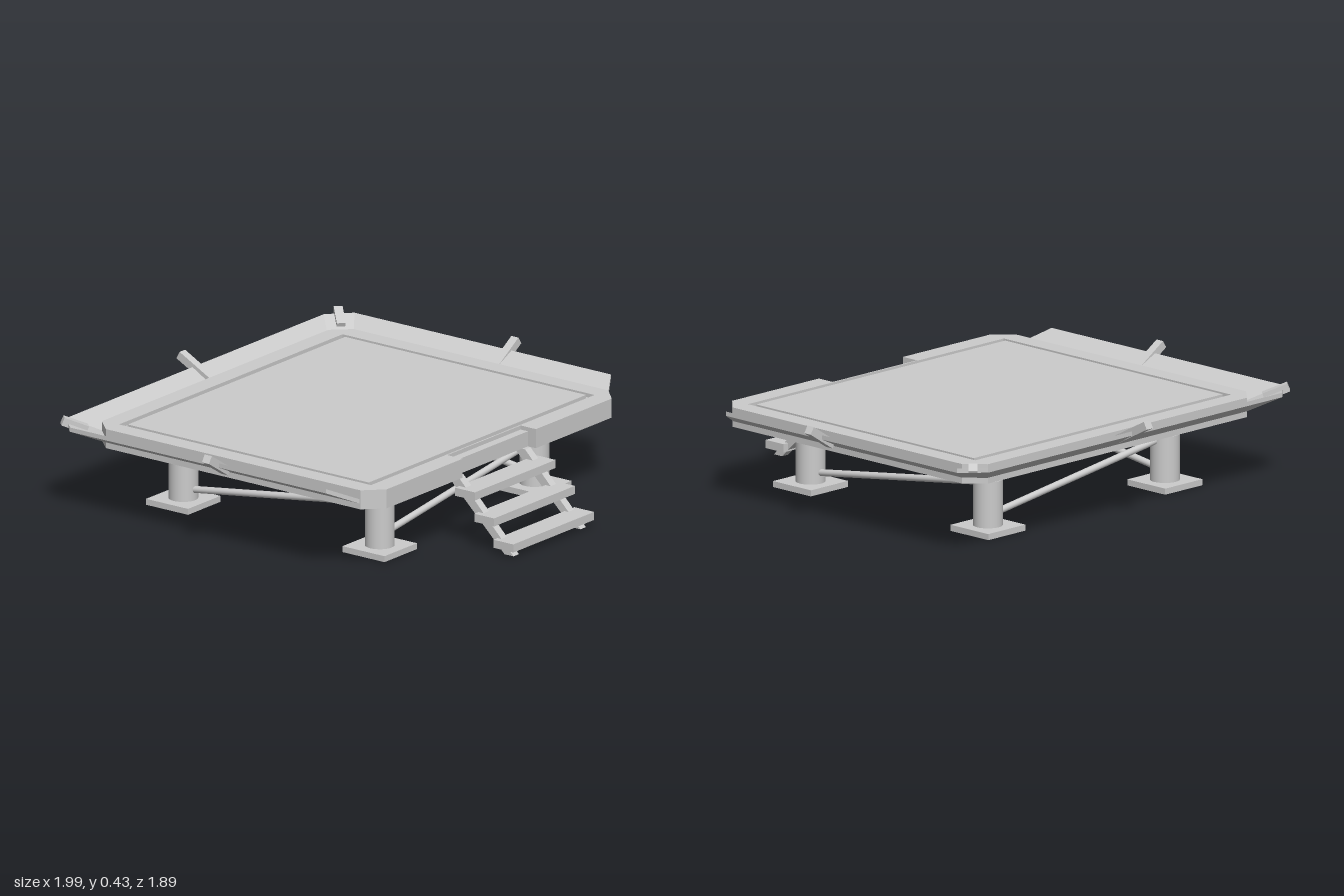
import * as THREE from 'three';

const mat = new THREE.MeshStandardMaterial({ color: 0xcccccc });
const flat = new THREE.MeshStandardMaterial({ color: 0xcccccc, flatShading: true });
const V = (x, y, z) => new THREE.Vector3(x, y, z);

function add(parent, name, geo, pos = [0, 0, 0], material = flat) {
  const m = new THREE.Mesh(geo, material);
  m.name = name;
  m.position.set(...pos);
  parent.add(m);
  return m;
}

// Flat plate from an outline of [x, z] points, lying between y0 and y1
function plate(outline, y0, y1, hole) {
  const toPts = (list) => list.map(([x, z]) => new THREE.Vector2(x, -z));
  const shape = new THREE.Shape(toPts(outline));
  if (hole) shape.holes.push(new THREE.Path(toPts(hole)));
  return new THREE.ExtrudeGeometry(shape, { depth: y1 - y0, bevelEnabled: false })
    .rotateX(-Math.PI / 2).translate(0, y0, 0);
}

// Mirror a half outline (listed from front centre to back centre) across x = 0
const mirrored = (half) => [...half, ...half.map(([x, z]) => [-x, z]).reverse()];

// Square bar or round tube between two points
function bar(parent, name, a, b, w, h) {
  const m = add(parent, name, new THREE.BoxGeometry(w, h, a.distanceTo(b)));
  m.position.copy(a).add(b).multiplyScalar(0.5);
  m.lookAt(b);
  return m;
}
function tube(parent, name, a, b, r) {
  const m = add(parent, name, new THREE.CylinderGeometry(r, r, a.distanceTo(b), 16), [0, 0, 0], mat);
  m.position.copy(a).add(b).multiplyScalar(0.5);
  m.quaternion.setFromUnitVectors(V(0, 1, 0), b.clone().sub(a).normalize());
  return m;
}

// Thin sloping skirt swept round three sides, with closed ends
function skirtGeometry() {
  const half = [
    [0.81, 0.59, 0.93, 0.515],
    [0.81, -0.69, 0.93, -0.78],
    [0.74, -0.765, 0.84, -0.865],
  ];
  const path = [...half, ...half.map(([a, b, c, d]) => [-a, b, -c, d]).reverse()];
  const sections = path.map(([ix, iz, ox, oz]) => [
    V(ix, 0.322, iz), V(ox, 0.38, oz), V(ox, 0.362, oz), V(ix, 0.304, iz),
  ]);
  const pos = [];
  const quad = (a, b, c, d) => [a, b, c, a, c, d].forEach((p) => pos.push(p.x, p.y, p.z));
  for (let i = 0; i < sections.length - 1; i++) {
    const s = sections[i], t = sections[i + 1];
    for (let k = 0; k < 4; k++) {
      const n = (k + 1) % 4;
      quad(s[k], s[n], t[n], t[k]);
    }
  }
  const first = sections[0], last = sections[sections.length - 1];
  quad(first[3], first[2], first[1], first[0]);
  quad(...last);
  const geo = new THREE.BufferGeometry();
  geo.setAttribute('position', new THREE.Float32BufferAttribute(pos, 3));
  geo.computeVertexNormals();
  return geo;
}

export function createModel() {
  const model = new THREE.Group();
  model.name = 'platform';

  // Deck: base slab, raised rim and centre panel with a groove between them
  const deck = new THREE.Group();
  deck.name = 'deck';
  model.add(deck);
  const edge = [[0.735, 0.67], [0.81, 0.595], [0.81, -0.69], [0.74, -0.765]];
  add(deck, 'deckBase', plate(mirrored([[0.24, 0.63], [0.24, 0.67], ...edge]), 0.28, 0.343));
  const groove = mirrored([[0.73, 0.587], [0.73, -0.685]]);
  add(deck, 'deckRim', plate(mirrored([[0.24, 0.593], [0.24, 0.67], ...edge]), 0.343, 0.36, groove));
  add(deck, 'deckPanel', plate(mirrored([[0.71, 0.56], [0.71, -0.657]]), 0.343, 0.36));

  const skirt = add(model, 'skirt', skirtGeometry());
  skirt.material = flat.clone();
  skirt.material.side = THREE.DoubleSide;

  // Sloping arms that carry the skirt
  const arms = [
    [V(0.86, 0.328, -0.005), V(0.985, 0.408, -0.005)],
    [V(-0.86, 0.328, -0.045), V(-0.985, 0.408, -0.045)],
    [V(0, 0.332, -0.78), V(0, 0.416, -0.938)],
    [V(0.83, 0.35, -0.77), V(0.9, 0.39, -0.84)],
    [V(-0.83, 0.35, -0.77), V(-0.9, 0.39, -0.84)],
  ];
  for (const [a, b] of arms) bar(model, 'skirtArm', a, b, 0.036, 0.034);

  // Legs with sleeves and foot plates
  const corners = [[0.505, 0.457], [0.505, -0.535], [-0.505, -0.535], [-0.505, 0.457]];
  for (const [x, z] of corners) {
    const leg = new THREE.Group();
    leg.name = 'leg';
    leg.position.set(x, 0, z);
    model.add(leg);
    add(leg, 'footPlate', new THREE.BoxGeometry(0.212, 0.025, 0.212), [0, 0.0125, 0]);
    add(leg, 'legSleeve', new THREE.CylinderGeometry(0.06, 0.06, 0.19, 32), [0, 0.12, 0], mat);
    add(leg, 'legPost', new THREE.CylinderGeometry(0.054, 0.054, 0.26, 32), [0, 0.155, 0], mat);
  }

  // One level rail and one diagonal brace on each side
  corners.forEach(([x, z], i) => {
    const [nx, nz] = corners[(i + 1) % 4];
    tube(model, 'levelRail', V(x, 0.242, z), V(nx, 0.242, nz), 0.013);
    tube(model, 'diagonalBrace', V(x, 0.062, z), V(nx, 0.202, nz), 0.014);
  });

  // Steps: sloping stringers cut level at the ground, and three treads
  const steps = new THREE.Group();
  steps.name = 'steps';
  model.add(steps);
  const side = new THREE.Shape([[0.93, 0.025], [0.88, 0], [0.925, 0], [0.645, 0.28], [0.585, 0.28], [0.88, 0]]
    .slice(2).map(([z, y]) => new THREE.Vector2(-z, y)));
  for (const s of [-1, 1]) {
    const geo = new THREE.ExtrudeGeometry(side, { depth: 0.036, bevelEnabled: false })
      .translate(0, 0, -0.018).rotateY(Math.PI / 2);
    add(steps, 'stringer', geo, [s * 0.219, 0, 0]);
  }
  for (let i = 0; i < 3; i++) {
    add(steps, 'tread', new THREE.BoxGeometry(0.528, 0.034, 0.1), [0, 0.044 + i * 0.09, 0.895 - i * 0.097]);
  }
  return model;
}
